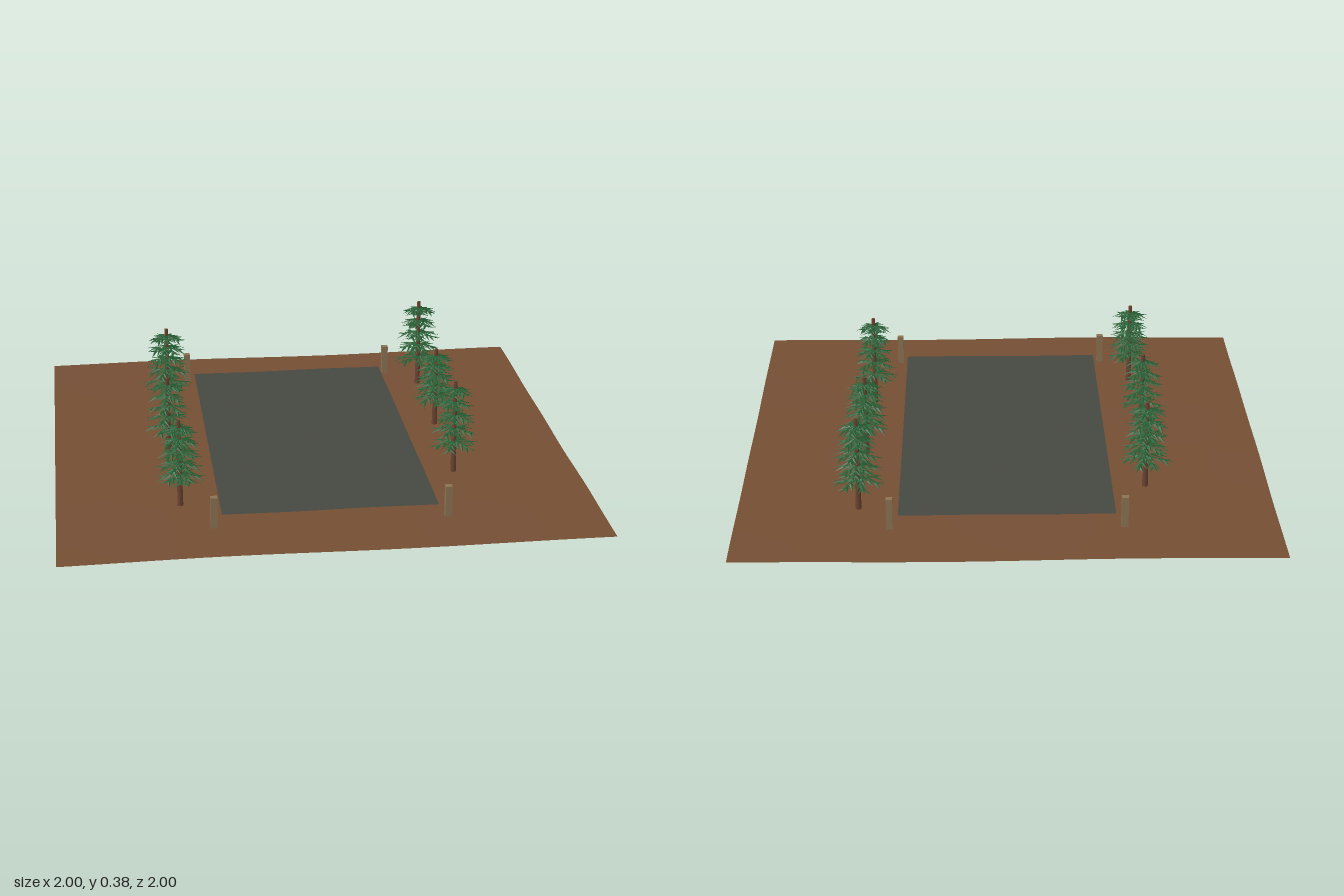
import * as THREE from 'three';
import { mergeGeometries } from 'three/addons/utils/BufferGeometryUtils.js';

const material = (name, color, extra = {}) => {
  const m = new THREE.MeshStandardMaterial({ color, ...extra });
  m.name = name;
  return m;
};

// Small seeded generator for natural variation
function seeded(seed) {
  let s = seed;
  return () => (s = (s * 16807) % 2147483647) / 2147483647;
}

// Flat sheet whose height follows a rule
function sheet(name, width, depth, segments, height, mat) {
  const geo = new THREE.PlaneGeometry(width, depth, segments, segments).rotateX(-Math.PI / 2);
  const p = geo.attributes.position;
  for (let i = 0; i < p.count; i++) p.setY(i, height(p.getX(i), p.getZ(i)));
  geo.computeVertexNormals();
  const mesh = new THREE.Mesh(geo, mat);
  mesh.name = name;
  return mesh;
}

// Slim four-sided spike from the origin along +x, slightly drooping
function leaflet(length, width, yaw, droop) {
  return new THREE.ConeGeometry(width, length, 4, 1, true)
    .rotateZ(-Math.PI / 2)
    .translate(length / 2, 0, 0)
    .scale(1, 0.45, 1)
    .rotateZ(-droop)
    .rotateY(yaw);
}

// Frond: paired leaflets along a drooping stem, plus a tip
function frond(radius, rand) {
  const parts = [];
  for (const t of [0.12, 0.36, 0.6]) {
    for (const side of [-1, 1]) {
      const leaf = leaflet(0.035 + rand() * 0.014, 0.0075, side * (0.65 + rand() * 0.3), 0.15 + rand() * 0.25);
      parts.push(leaf.translate(radius * t, 0.016 - 0.02 * t, 0));
    }
  }
  parts.push(leaflet(radius * 0.5, 0.0075, 0, 0.15).translate(radius * 0.5, 0.008, 0));
  parts.push(leaflet(radius * 0.6, 0.006, 0, 0.12).translate(0, 0.016, 0));
  return mergeGeometries(parts);
}

function tree({ x, z, top, radius, fronds }, index, mats) {
  const group = new THREE.Group();
  group.name = 'tree';
  const rand = seeded(977 + index * 7919);
  const base = 0.015;

  const trunk = new THREE.Mesh(
    new THREE.CylinderGeometry(0.007, 0.011, top - base, 8).translate(0, (top + base) / 2, 0), mats.bark);
  trunk.name = 'trunk';

  // Five whorls of fronds, narrowing upwards
  const whorls = [];
  for (let level = 0; level < 5; level++) {
    const t = level / 4;
    const y = THREE.MathUtils.lerp(0.125, top - 0.045, t);
    const reach = radius * (1 - 0.34 * t);
    for (let i = 0; i < fronds; i++) {
      const turn = (fronds > 5 ? level * 0.5 : level * 0.1) + (i + rand() * 0.35) * Math.PI * 2 / fronds;
      whorls.push(frond(reach * (0.88 + rand() * 0.16), rand).rotateY(turn).translate(0, y, 0));
    }
  }
  const foliage = new THREE.Mesh(mergeGeometries(whorls), mats.needles);
  foliage.name = 'foliage';

  group.add(trunk, foliage);
  group.position.set(x, 0, z);
  return group;
}

export function createModel() {
  const model = new THREE.Group();
  model.name = 'pondGarden';
  const mats = {
    soil: material('soil', 0x744e34, { side: THREE.DoubleSide }),
    water: material('water', 0x464841, { side: THREE.DoubleSide }),
    wood: material('wood', 0x8a7352),
    bark: material('bark', 0x6b4230),
    needles: material('needles', 0x235c31, { side: THREE.DoubleSide, flatShading: true }),
  };

  // Gently uneven earth and the raised pond surface
  model.add(sheet('ground', 2, 2, 32,
    (x, z) => 0.014 + 0.003 * Math.sin(x * 5 + 0.6) * Math.cos(z * 4) + 0.002 * Math.sin(z * 9 + x * 3),
    mats.soil));
  model.add(sheet('pondSurface', 0.8, 1.45, 16,
    (x, z) => 0.051 + 0.001 * Math.sin(x * 12) * Math.cos(z * 9), mats.water));

  // Corner posts
  for (const x of [-0.43, 0.43]) {
    for (const z of [-0.75, 0.75]) {
      const post = new THREE.Mesh(new THREE.BoxGeometry(0.025, 0.135, 0.025), mats.wood);
      post.name = 'cornerPost';
      post.position.set(x, 0.0675, z);
      model.add(post);
    }
  }

  // Rows of trees on both banks
  const trees = [
    { x: -0.53, z: -0.435, top: 0.365, radius: 0.112, fronds: 7 },
    { x: -0.555, z: 0.065, top: 0.34, radius: 0.105, fronds: 5 },
    { x: -0.54, z: 0.54, top: 0.355, radius: 0.1, fronds: 7 },
    { x: 0.55, z: -0.6, top: 0.385, radius: 0.11, fronds: 7 },
    { x: 0.54, z: -0.135, top: 0.34, radius: 0.106, fronds: 7 },
    { x: 0.525, z: 0.35, top: 0.385, radius: 0.106, fronds: 6 },
  ];
  trees.forEach((t, i) => model.add(tree(t, i, mats)));
  return model;
}
